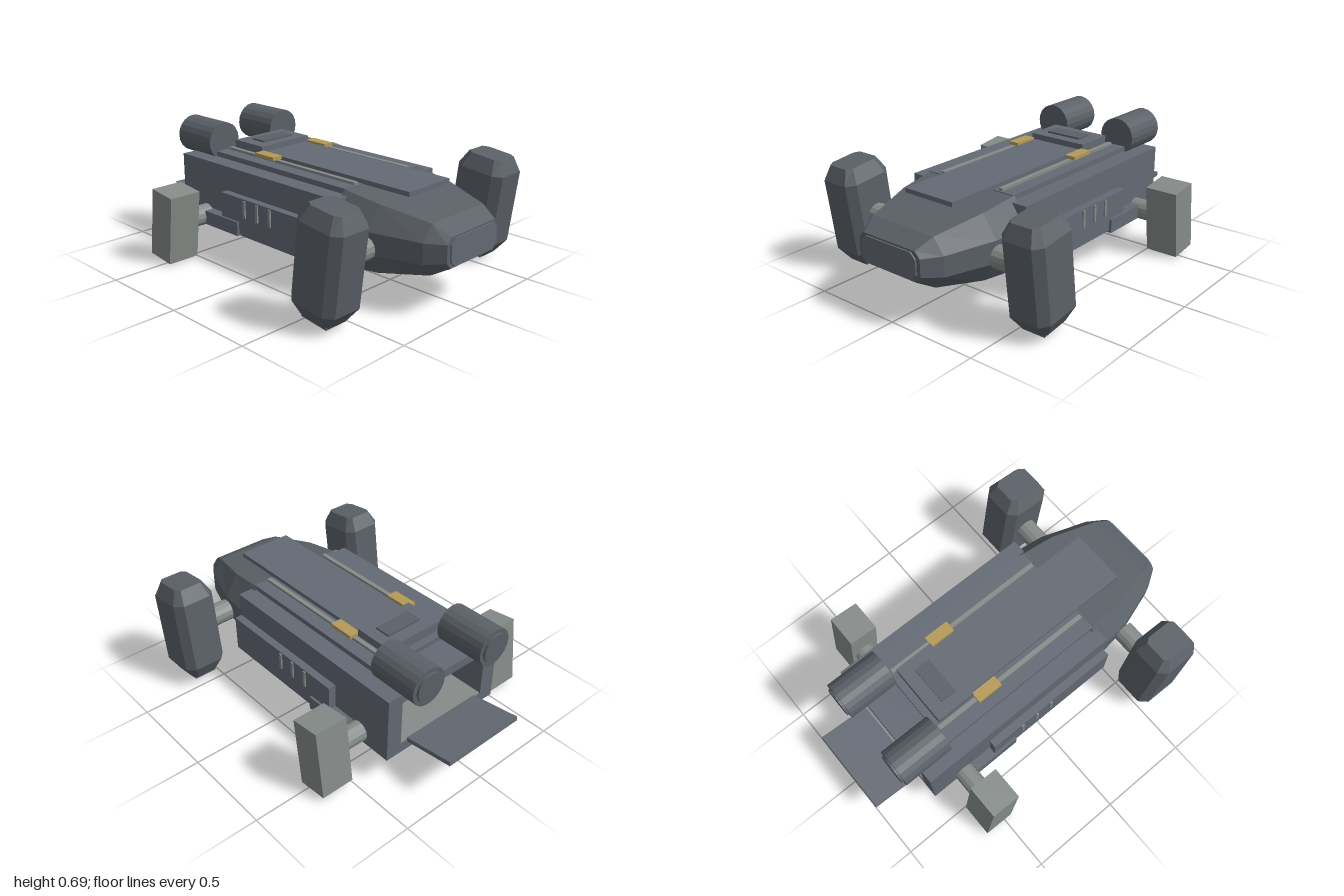
import * as THREE from 'three';

const mat = (name, color) => {
  const m = new THREE.MeshStandardMaterial({ color, flatShading: true });
  m.name = name;
  return m;
};

export function createModel() {
  const root = new THREE.Group();
  root.name = 'dropship';
  const hull = mat('slate hull', 0x646a74);
  const dark = mat('dark slate', 0x5b6168);
  const grey = mat('pale grey metal', 0x868c89);
  const inset = mat('ramp inset', 0x54585a);
  const gold = mat('gold', 0xb59a58);

  const add = (name, geo, material, parent = root) => {
    const m = new THREE.Mesh(geo, material);
    m.name = name;
    parent.add(m);
    return m;
  };
  // Box given by its limits on each axis
  const box = (name, material, x0, x1, y0, y1, z0, z1, parent = root) => {
    const m = add(name, new THREE.BoxGeometry(x1 - x0, y1 - y0, z1 - z0), material, parent);
    m.position.set((x0 + x1) / 2, (y0 + y1) / 2, (z0 + z1) / 2);
    return m;
  };
  // Octagonal cross-section: half width, half flat width, four heights, depth
  const ring = (hw, th, y0, y1, y2, y3, z) => [
    [th, y0, z], [hw, y1, z], [hw, y2, z], [th, y3, z],
    [-th, y3, z], [-hw, y2, z], [-hw, y1, z], [-th, y0, z],
  ];
  // Skin joining successive rings along +z, with both ends closed
  const loft = (rings) => {
    const p = [];
    const n = rings[0].length;
    for (let s = 0; s < rings.length - 1; s++) {
      const a = rings[s], b = rings[s + 1];
      for (let i = 0; i < n; i++) {
        const j = (i + 1) % n;
        p.push(...a[i], ...a[j], ...b[j], ...a[i], ...b[j], ...b[i]);
      }
    }
    const first = rings[0], last = rings[rings.length - 1];
    for (let i = 1; i < n - 1; i++) {
      p.push(...last[0], ...last[i], ...last[i + 1]);
      p.push(...first[0], ...first[i + 1], ...first[i]);
    }
    const g = new THREE.BufferGeometry();
    g.setAttribute('position', new THREE.Float32BufferAttribute(p, 3));
    g.computeVertexNormals();
    return g;
  };

  // Main hull with an open bay at the rear
  box('mainHull', hull, -0.375, 0.375, 0.148, 0.515, -0.5, 0.46);
  box('bayFloor', hull, -0.375, 0.375, 0.148, 0.2, -0.72, -0.5);
  box('bayRoof', hull, -0.375, 0.375, 0.465, 0.515, -0.72, -0.5);
  box('bayFloorPlate', grey, -0.285, 0.285, 0.2, 0.206, -0.715, -0.5);
  box('bayBulkhead', grey, -0.285, 0.285, 0.206, 0.465, -0.506, -0.498);

  // Tapered nose
  add('nose', loft([
    ring(0.37, 0.28, 0.146, 0.28, 0.40, 0.54, 0.43),
    ring(0.345, 0.265, 0.165, 0.28, 0.395, 0.512, 0.64),
    ring(0.26, 0.2, 0.21, 0.28, 0.385, 0.465, 0.9),
    ring(0.2, 0.17, 0.262, 0.295, 0.385, 0.417, 0.992),
  ]), dark);
  add('nosePanel', loft([
    ring(0.178, 0.148, 0.27, 0.3, 0.378, 0.408, 0.991),
    ring(0.178, 0.148, 0.27, 0.3, 0.378, 0.408, 1.0),
  ]), hull);

  // Roof plating, spine and hatch
  box('roofPlate', hull, -0.28, 0.28, 0.51, 0.543, -0.54, 0.44);
  box('spinePanel', hull, -0.155, 0.155, 0.541, 0.565, -0.5, 0.73);
  box('roofHatch', hull, -0.175, 0.175, 0.555, 0.597, -0.5, -0.28);
  box('hatchCover', dark, -0.108, 0.108, 0.597, 0.607, -0.43, -0.34);

  // Rear loading ramp
  const ramp = new THREE.Group();
  ramp.name = 'ramp';
  ramp.position.set(0, 0.225, -0.858);
  ramp.rotation.x = 0.155;
  root.add(ramp);
  box('rampPlate', hull, -0.24, 0.24, -0.012, 0.012, -0.142, 0.142, ramp);
  box('rampInset', inset, -0.2, 0.2, -0.016, -0.011, -0.12, 0.12, ramp);

  const pod = loft([
    ring(0.075, 0.055, -0.09, -0.065, 0.065, 0.09, -0.275),
    ring(0.12, 0.08, -0.14, -0.095, 0.095, 0.14, -0.195),
    ring(0.12, 0.08, -0.14, -0.095, 0.095, 0.14, 0.205),
    ring(0.08, 0.06, -0.1, -0.07, 0.07, 0.1, 0.28),
  ]).rotateX(-Math.PI / 2);

  // Mirrored parts
  for (const s of [1, -1]) {
    const side = s > 0 ? 'left' : 'right';
    const sbox = (name, m, x0, x1, ...r) =>
      box(side + name, m, Math.min(s * x0, s * x1), Math.max(s * x0, s * x1), ...r);

    sbox('BayWall', hull, 0.285, 0.375, 0.2, 0.465, -0.72, -0.5);
    sbox('SidePanel', hull, 0.37, 0.417, 0.182, 0.382, -0.34, 0.455);
    sbox('SideSponson', hull, 0.37, 0.43, 0.17, 0.247, -0.47, -0.2);
    for (const z of [0.045, -0.052, -0.15])
      sbox('SideVent', grey, 0.41, 0.425, 0.28, 0.375, z - 0.008, z + 0.008);
    sbox('RoofRail', grey, 0.182, 0.206, 0.54, 0.557, -0.52, 0.43);
    sbox('RailClamp', gold, 0.163, 0.225, 0.555, 0.574, -0.28, -0.135);

    // Engine barrel and nozzle rim
    const engine = add(side + 'Engine', new THREE.CylinderGeometry(0.103, 0.103, 0.28, 20), dark);
    engine.rotation.x = Math.PI / 2;
    engine.position.set(s * 0.223, 0.593, -0.68);
    const nozzle = add(side + 'EngineNozzle', new THREE.CylinderGeometry(0.08, 0.08, 0.03, 20), dark);
    nozzle.rotation.x = Math.PI / 2;
    nozzle.position.set(s * 0.223, 0.593, -0.817);

    // Axles
    for (const [name, r, len, x, y, z] of [
      ['FrontAxle', 0.06, 0.16, 0.43, 0.315, 0.635],
      ['RearAxle', 0.057, 0.2, 0.44, 0.208, -0.52],
    ]) {
      const axle = add(side + name, new THREE.CylinderGeometry(r, r, len, 14), grey);
      axle.rotation.z = Math.PI / 2;
      axle.position.set(s * x, y, z);
    }

    // Front pod with foot pad
    const front = new THREE.Group();
    front.name = side + 'FrontPod';
    front.position.set(s * 0.6, 0.315, 0.64);
    front.rotation.x = 0.12;
    root.add(front);
    add('podShell', pod, dark, front);
    box('podFoot', dark, -0.065, 0.065, -0.287, -0.27, -0.08, 0.08, front);

    // Rear landing leg with foot pad
    const rear = new THREE.Group();
    rear.name = side + 'RearLeg';
    rear.position.set(s * 0.6, 0.21, -0.516);
    rear.rotation.x = 0.12;
    root.add(rear);
    box('legBlock', grey, -0.092, 0.092, -0.19, 0.19, -0.083, 0.083, rear);
    box('legFoot', grey, -0.077, 0.077, -0.2, -0.185, -0.07, 0.07, rear);
  }
  return root;
}
